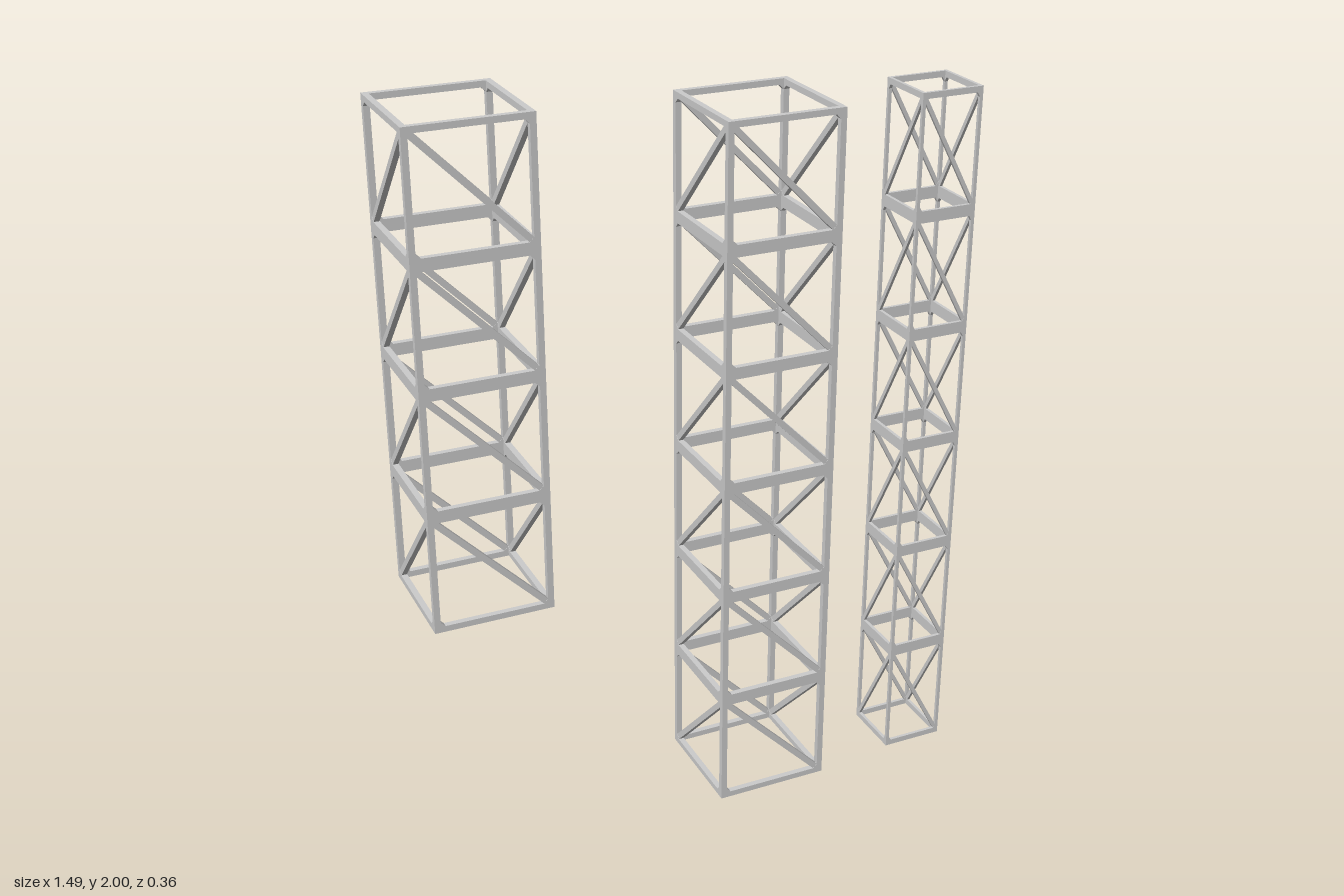
import * as THREE from 'three';

const W = 0.316, H = 0.322, BAR = 0.016, CUT = 0.012;
const material = new THREE.MeshStandardMaterial({ color: 0xcccccc, flatShading: true });

// Rectangular frame with chamfered inner corners
function frameGeometry() {
  const w = W / 2, h = H / 2, a = w - BAR, b = h - BAR;
  const shape = new THREE.Shape([[-w, -h], [w, -h], [w, h], [-w, h]].map(p => new THREE.Vector2(...p)));
  shape.holes.push(new THREE.Path([
    [-a + CUT, -b], [-a, -b + CUT], [-a, b - CUT], [-a + CUT, b],
    [a - CUT, b], [a, b - CUT], [a, -b + CUT], [a - CUT, -b],
  ].map(p => new THREE.Vector2(...p))));
  return new THREE.ExtrudeGeometry(shape, { depth: BAR, bevelEnabled: false }).translate(0, 0, -BAR / 2);
}

// Brace from the upper -x corner to the lower +x corner
function braceGeometry() {
  const dx = W - BAR, dy = H - BAR;
  return new THREE.BoxGeometry(Math.hypot(dx, dy), BAR, BAR * 0.9).rotateZ(-Math.atan2(dy, dx));
}

const frame = frameGeometry();
const brace = braceGeometry();

// One lattice cell: four framed, braced sides
function cell() {
  const g = new THREE.Group();
  g.name = 'latticeCell';
  const off = (W - BAR) / 2;
  const sides = [
    ['front', 0, off, false], ['back', 0, -off, false],
    ['left', off, 0, true], ['right', -off, 0, true],
  ];
  for (const [name, x, z, turned] of sides) {
    const side = new THREE.Group();
    side.name = name + 'Panel';
    const f = new THREE.Mesh(frame, material);
    f.name = 'frame';
    const d = new THREE.Mesh(brace, material);
    d.name = 'diagonalBrace';
    side.add(f, d);
    side.position.set(x, 0, z);
    // turned sides have the brace's upper end towards +z
    if (turned) side.rotation.y = Math.PI / 2;
    g.add(side);
  }
  return g;
}

// Stack of cells, slimmed horizontally by a factor
function tower(name, x, y, z, count, slim) {
  const g = new THREE.Group();
  g.name = name;
  for (let i = 0; i < count; i++) {
    const c = cell();
    c.position.y = H * (i + 0.5);
    g.add(c);
  }
  g.position.set(x, y, z);
  g.scale.set(slim, 1, slim);
  return g;
}

export function createModel() {
  const model = new THREE.Group();
  model.name = 'latticeTowers';
  model.add(
    tower('raisedTower', -0.588, 2 - 4 * H, -0.022, 4, 1),
    tower('wideTower', 0.185, 0, 0.022, 6, 1),
    tower('slimTower', 0.659, 0, 0.063, 6, 0.55),
  );
  return model;
}
